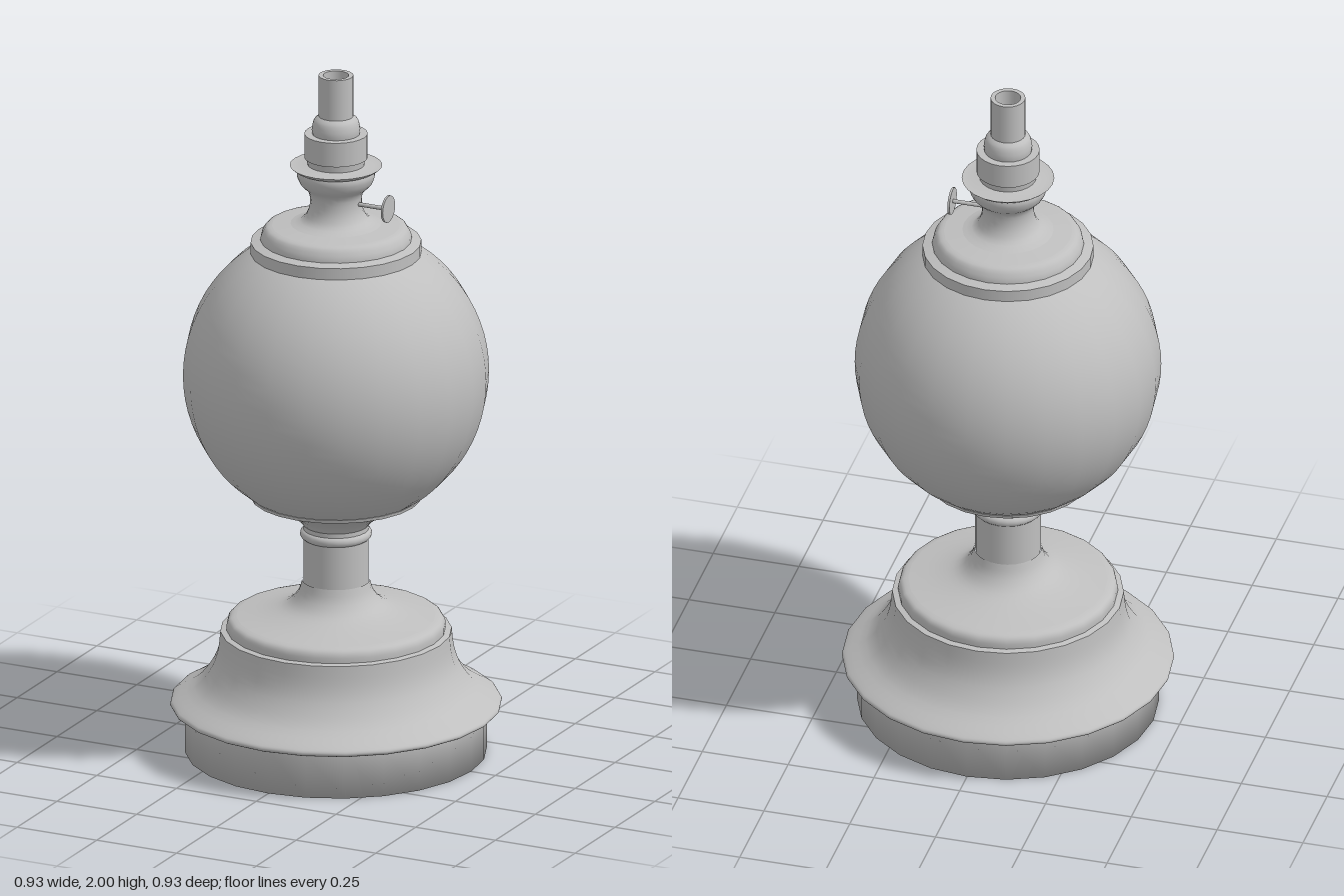
import * as THREE from 'three';

const SIDES = 24;

export function createModel() {
  const model = new THREE.Group();
  model.name = 'ballLampBody';
  const grey = new THREE.MeshStandardMaterial({ color: 0xbfbfbf });
  grey.name = 'grey';

  function add(name, geometry, parent = model) {
    const mesh = new THREE.Mesh(geometry, grey);
    mesh.name = name;
    parent.add(mesh);
    return mesh;
  }

  // Smooth turned surface from [radius, height] pairs, bottom to top
  function turn(name, pts, parent = model) {
    const profile = pts.map(([r, y]) => new THREE.Vector2(r, y));
    return add(name, new THREE.LatheGeometry(profile, SIDES), parent);
  }

  // Several turned surfaces that meet at sharp edges
  function turnParts(name, runs) {
    const group = new THREE.Group();
    group.name = name;
    runs.forEach((pts, i) => turn(name + (i + 1), pts, group));
    model.add(group);
  }

  // Smooth curve through a few profile points
  function curve(pts, steps = 14) {
    return new THREE.SplineCurve(pts.map(([r, y]) => new THREE.Vector2(r, y)))
      .getPoints(steps).map((p) => [p.x, p.y]);
  }

  // Plinth, softly shaded into its underside
  turn('plinth', [[0, 0], [0.424, 0], [0.424, 0.13]]);

  // Flared foot with a rolled rim, stepped ring and sweep up to the neck
  turnParts('foot', [
    [[0.42, 0.13], [0.445, 0.13]],
    curve([[0.445, 0.13], [0.463, 0.138], [0.465, 0.148], [0.45, 0.16], [0.39, 0.197],
      [0.35, 0.25], [0.332, 0.3], [0.325, 0.357]], 22),
    [[0.325, 0.357], [0.308, 0.36]],
    curve([[0.308, 0.36], [0.307, 0.38], [0.298, 0.394], [0.28, 0.4]], 8),
    curve([[0.28, 0.4], [0.2, 0.415], [0.14, 0.435], [0.108, 0.468], [0.095, 0.505]]),
  ]);

  // Neck with a small bead
  turnParts('neck', [
    [[0.092, 0.5], [0.092, 0.63]],
    curve([[0.092, 0.63], [0.1, 0.637], [0.1, 0.65], [0.092, 0.657]], 6),
    [[0.092, 0.657], [0.092, 0.672]],
  ]);

  // Cup that holds the ball
  turnParts('cup', [
    curve([[0.092, 0.67], [0.11, 0.69], [0.15, 0.716], [0.2, 0.738], [0.24, 0.752]]),
    [[0.24, 0.752], [0.243, 0.762]],
    [[0.243, 0.762], [0.22, 0.765]],
  ]);

  // Ball
  const ball = add('ball', new THREE.SphereGeometry(0.43, SIDES, 24, 0, Math.PI * 2,
    0.55, Math.PI - 1.1));
  ball.position.y = 1.118;

  // Stepped collar on top of the ball
  turnParts('collar', [
    [[0.23, 1.473], [0.24, 1.473]],
    [[0.24, 1.473], [0.24, 1.508]],
    [[0.24, 1.508], [0.213, 1.515]],
    curve([[0.213, 1.515], [0.21, 1.53], [0.198, 1.55], [0.18, 1.556]], 8),
    [[0.18, 1.556], [0.128, 1.562]],
  ]);

  // Waisted gallery under the burner
  turnParts('gallery', [
    curve([[0.128, 1.562], [0.095, 1.574], [0.078, 1.6], [0.073, 1.63], [0.078, 1.658],
      [0.1, 1.68], [0.11, 1.705], [0.108, 1.72]], 18),
    curve([[0.108, 1.72], [0.118, 1.724], [0.13, 1.734]], 4),
    [[0.13, 1.734], [0.11, 1.733], [0.08, 1.737]],
  ]);

  // Burner sleeve and shoulder
  turnParts('burner', [
    [[0.08, 1.735], [0.082, 1.755]],
    [[0.082, 1.755], [0.089, 1.757]],
    [[0.089, 1.757], [0.089, 1.828]],
    [[0.089, 1.828], [0.067, 1.828]],
    curve([[0.067, 1.828], [0.068, 1.845], [0.062, 1.868], [0.049, 1.88]], 8),
  ]);

  // Open wick tube with inner wall and floor
  turnParts('wickTube', [
    [[0.049, 1.875], [0.049, 2]],
    [[0.049, 2], [0.036, 2]],
    [[0.036, 2], [0.036, 1.88]],
    [[0.036, 1.88], [0, 1.88]],
  ]);

  // Wick key on the left side
  const key = new THREE.Group();
  key.name = 'wickKey';
  key.position.y = 1.628;
  const stem = add('keyStem', new THREE.CylinderGeometry(0.006, 0.006, 0.1, 10), key);
  stem.position.x = 0.113;
  const disc = add('keyDisc', new THREE.CylinderGeometry(0.039, 0.039, 0.006, 20), key);
  disc.position.x = 0.163;
  stem.rotation.z = disc.rotation.z = -Math.PI / 2;
  model.add(key);

  return model;
}
